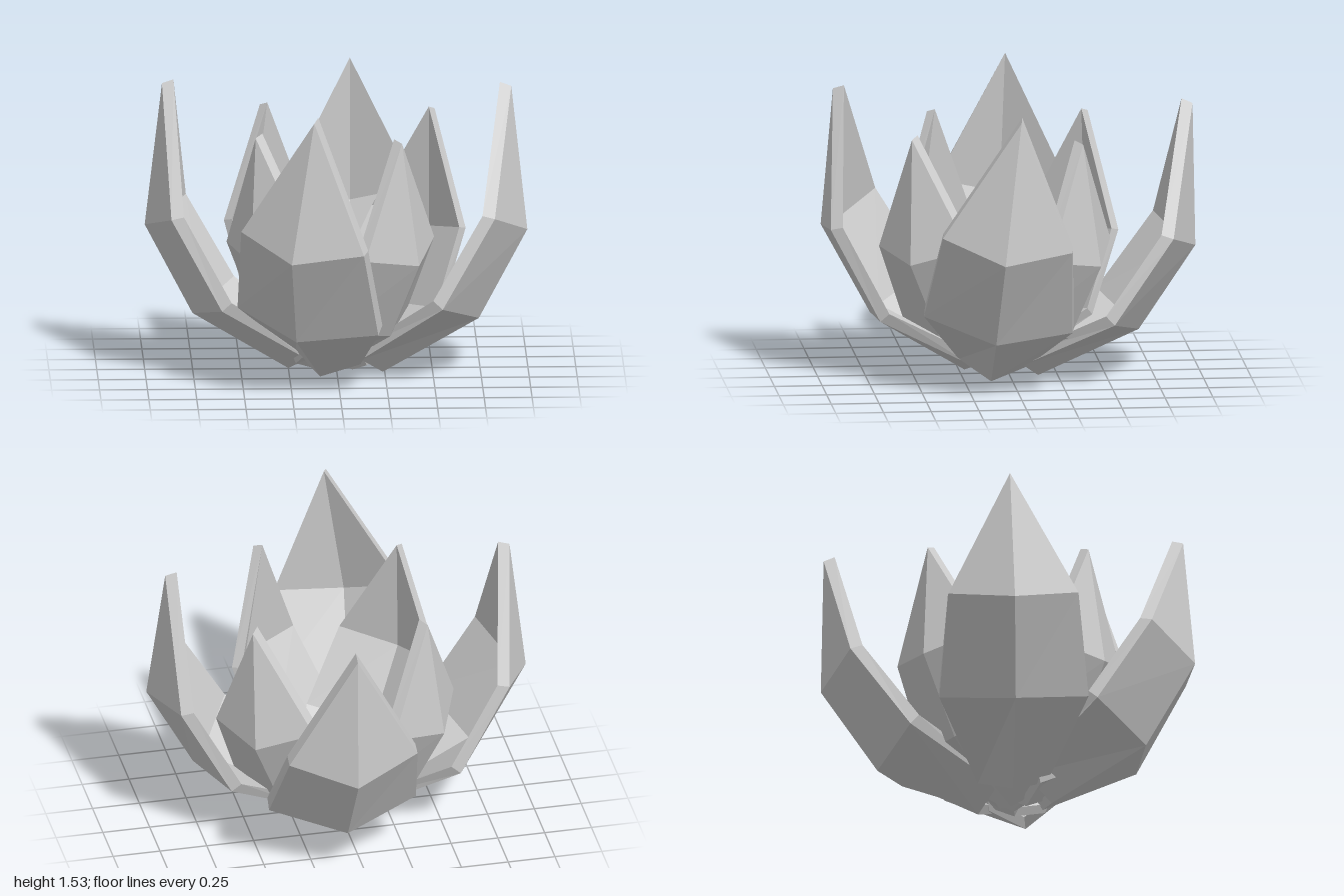
import * as THREE from 'three';

// Petal cross-sections from base to tip:
// ridge (out, up), edge (out, up, half width), offset to the inner skin (out, up)
const ROWS = [
  { ridge: [0.24, 0.02], edge: [0.14, 0.10, 0.18], inner: [-0.03, 0.055] },
  { ridge: [0.74, 0.31], edge: [0.58, 0.39, 0.39], inner: [-0.05, 0.045] },
  { ridge: [0.99, 0.78], edge: [0.845, 0.865, 0.34], inner: [-0.065, 0.015] },
  { ridge: [0.90, 1.53], edge: [0.90, 1.53, 0], inner: [-0.06, 0.02] },
];

// Thick, keeled petal pointing out along +x
function petalGeometry() {
  const section = (row, shift) => [-1, 0, 1].map((side) => {
    const [x, y, w] = side ? row.edge : [...row.ridge, 0];
    return [x + shift[0], y + shift[1], side * w];
  });
  const outer = ROWS.map((row) => section(row, [0, 0]));
  const inner = ROWS.map((row) => section(row, row.inner));
  const positions = [];
  const quad = (a, b, c, d) => {
    positions.push(...a, ...b, ...c);
    if (c.some((v, k) => v !== d[k])) positions.push(...a, ...c, ...d);
  };
  for (let i = 0; i < ROWS.length - 1; i++) {
    const [o, p, n, m] = [outer[i], outer[i + 1], inner[i], inner[i + 1]];
    for (let j = 0; j < 2; j++) {
      quad(o[j + 1], o[j], p[j], p[j + 1]); // outer skin
      quad(n[j], n[j + 1], m[j + 1], m[j]); // inner skin
    }
    quad(n[2], o[2], p[2], m[2]); // rims
    quad(o[0], n[0], m[0], p[0]);
  }
  // base cap
  for (let j = 0; j < 2; j++) quad(outer[0][j], outer[0][j + 1], inner[0][j + 1], inner[0][j]);
  const geometry = new THREE.BufferGeometry();
  geometry.setAttribute('position', new THREE.Float32BufferAttribute(positions, 3));
  geometry.computeVertexNormals();
  return geometry;
}

// Placement: yaw in degrees from +x towards +z, radial and sideways offsets, sideways roll, outward pitch
const OUTER = [
  { name: 'frontOuterPetal', yaw: 110, out: 0, side: 0.012, roll: 0.124 },
  { name: 'leftOuterPetal', yaw: 6, out: 0.01, side: 0.09, roll: 0.11 },
  { name: 'rightOuterPetal', yaw: 182.5, out: 0.01, side: -0.02, roll: -0.03 },
  { name: 'backOuterPetal', yaw: -88.3, out: -0.09, side: 0.07, roll: 0, pitch: 0.1, up: 0.02 },
];
const INNER = [
  { name: 'frontLeftInnerPetal', yaw: 40.7, out: -0.185, side: 0.10, roll: -0.07 },
  { name: 'backLeftInnerPetal', yaw: -51.5, out: -0.19, side: 0.09, roll: -0.08 },
  { name: 'backRightInnerPetal', yaw: -134.3, out: -0.19, side: -0.04, roll: -0.06 },
  { name: 'frontRightInnerPetal', yaw: 134.3, out: -0.205, side: -0.04, roll: -0.06 },
];

export function createModel() {
  const flower = new THREE.Group();
  flower.name = 'flower';
  const grey = new THREE.MeshStandardMaterial({ color: 0xcccccc });
  grey.name = 'petal grey';
  const geometry = petalGeometry();

  const addRing = (name, petals, scale) => {
    const ring = new THREE.Group();
    ring.name = name;
    for (const p of petals) {
      const a = THREE.MathUtils.degToRad(p.yaw);
      const petal = new THREE.Mesh(geometry, grey);
      petal.name = p.name;
      petal.scale.set(...scale);
      petal.rotation.set(-p.roll, -a, -(p.pitch ?? 0), 'YXZ');
      petal.position.set(
        Math.cos(a) * p.out - Math.sin(a) * p.side,
        p.up ?? 0,
        Math.sin(a) * p.out + Math.cos(a) * p.side,
      );
      ring.add(petal);
    }
    flower.add(ring);
  };
  addRing('outerPetals', OUTER, [1, 1, 1]);
  addRing('innerPetals', INNER, [0.87, 0.87, 0.84]);
  return flower;
}
